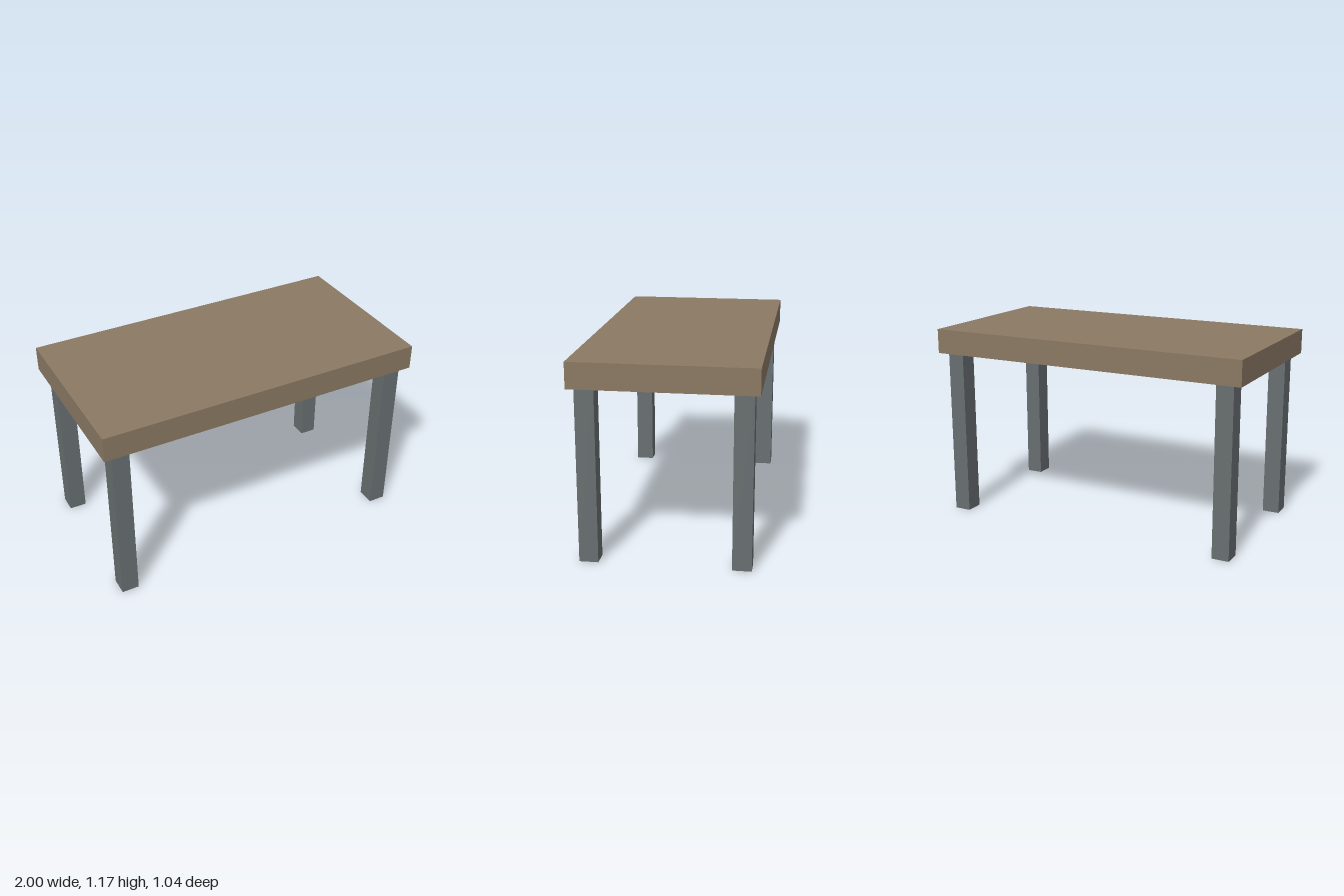
import * as THREE from 'three';

const TOP = { width: 2, height: 0.15, depth: 1.044 };
const LEG = { width: 0.104, height: 1.024, depth: 0.11, x: 0.894, z: 0.434 };

export function createModel() {
  const table = new THREE.Group();
  table.name = 'table';

  const wood = new THREE.MeshStandardMaterial({ color: 0x8b7963 });
  const metal = new THREE.MeshStandardMaterial({ color: 0x686e70 });

  // Thick rectangular slab
  const top = new THREE.Mesh(new THREE.BoxGeometry(TOP.width, TOP.height, TOP.depth), wood);
  top.name = 'tableTop';
  top.position.y = LEG.height + TOP.height / 2;
  table.add(top);

  // Four straight legs, set in slightly from the corners
  const legGeometry = new THREE.BoxGeometry(LEG.width, LEG.height, LEG.depth);
  for (const [endName, z] of [['front', LEG.z], ['back', -LEG.z]]) {
    for (const [sideName, x] of [['Left', LEG.x], ['Right', -LEG.x]]) {
      const leg = new THREE.Mesh(legGeometry, metal);
      leg.name = `${endName}${sideName}Leg`;
      leg.position.set(x, LEG.height / 2, z);
      table.add(leg);
    }
  }

  return table;
}
